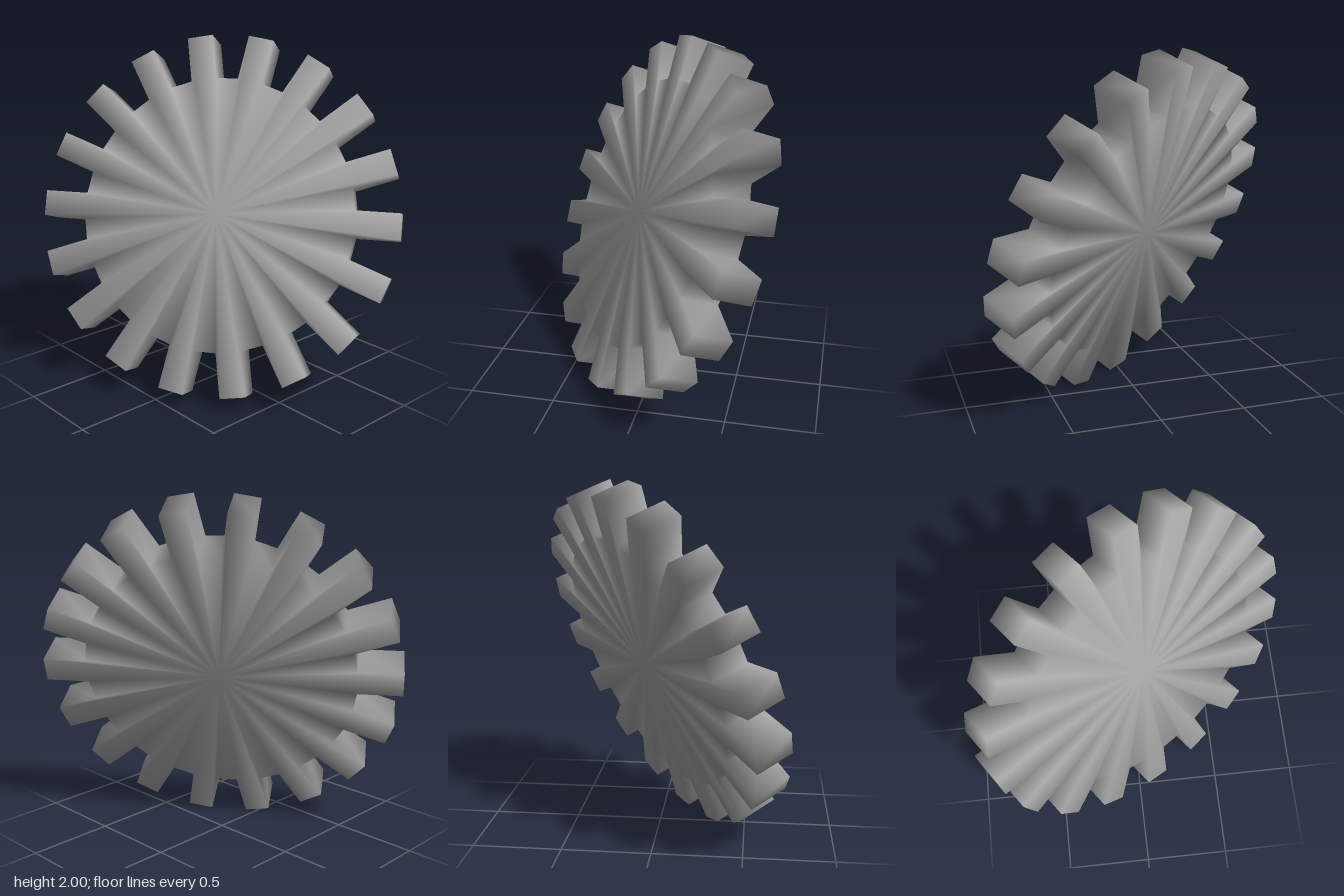
import * as THREE from 'three';

const TEETH = 18, TIP = 1.03, ROOT = 0.78, HALF_WIDTH = 0.073, HALF_DEPTH = 0.115;

// Outline of the wheel: parallel-sided teeth, counter-clockwise
function gearOutline() {
  const points = [];
  const rootX = Math.sqrt(ROOT * ROOT - HALF_WIDTH * HALF_WIDTH);
  const tooth = [[rootX, -HALF_WIDTH], [TIP, -HALF_WIDTH], [TIP, HALF_WIDTH], [rootX, HALF_WIDTH]];
  for (let i = 0; i < TEETH; i++) {
    const a = (i / TEETH) * Math.PI * 2;
    for (const [x, y] of tooth) {
      points.push(new THREE.Vector2(x, y).rotateAround(new THREE.Vector2(), a));
    }
  }
  return points;
}

// Solid wheel with shared vertices, so shading runs softly over the edges
function gearGeometry() {
  const outline = gearOutline(), n = outline.length;
  const positions = [], index = [];
  for (const z of [HALF_DEPTH, -HALF_DEPTH]) {
    for (const p of outline) positions.push(p.x, p.y, z);
  }
  positions.push(0, 0, HALF_DEPTH, 0, 0, -HALF_DEPTH);
  const front = 2 * n, back = 2 * n + 1;
  for (let i = 0; i < n; i++) {
    const j = (i + 1) % n;
    index.push(front, i, j, back, n + j, n + i); // two faces
    index.push(i, n + i, n + j, i, n + j, j); // rim wall
  }
  const geometry = new THREE.BufferGeometry();
  geometry.setAttribute('position', new THREE.Float32BufferAttribute(positions, 3));
  geometry.setIndex(index);
  geometry.computeVertexNormals();
  return geometry;
}

export function createModel() {
  const group = new THREE.Group();
  group.name = 'gear';
  const grey = new THREE.MeshStandardMaterial({ color: 0xa8a8a8 });
  grey.name = 'grey';

  const wheel = new THREE.Mesh(gearGeometry(), grey);
  wheel.name = 'toothedWheel';

  // Tilt the axle forward, to the side and upward
  const axle = new THREE.Vector3(0.53, 0.355, 0.77).normalize();
  const right = new THREE.Vector3(axle.z, 0, -axle.x).normalize();
  const up = new THREE.Vector3().crossVectors(axle, right);
  wheel.quaternion.setFromRotationMatrix(new THREE.Matrix4().makeBasis(right, up, axle));
  wheel.position.y = 1;
  group.add(wheel);
  return group;
}
